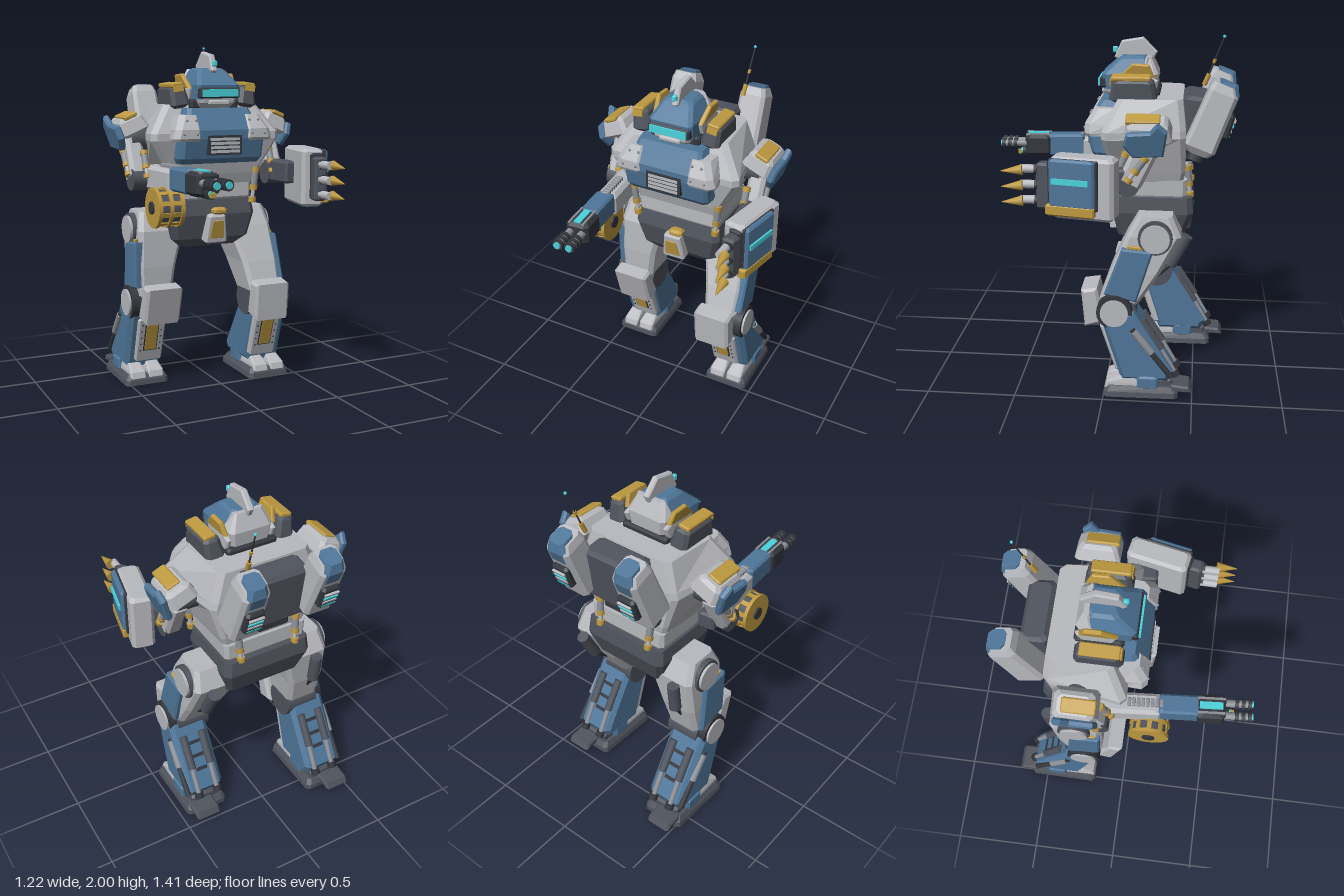
import * as THREE from 'three';

const mat = (name, color) => Object.assign(new THREE.MeshStandardMaterial({ color }), { name });
const light = mat('light grey armour', 0xb9babf);
const blue = mat('blue armour', 0x4f7699);
const dark = mat('dark frame', 0x4f535c);
const black = mat('black metal', 0x34373e);
const steel = mat('steel', 0x8d9097);
const gold = mat('gold trim', 0xbd9940);
const cyan = mat('cyan glow', 0x4bd3dc);

function add(parent, name, geo, material, pos = [0, 0, 0], rot = [0, 0, 0]) {
  const m = new THREE.Mesh(geo, material);
  m.name = name;
  m.position.set(...pos);
  m.rotation.set(...rot);
  parent.add(m);
  return m;
}

function group(parent, name, pos = [0, 0, 0], rot = [0, 0, 0]) {
  const g = new THREE.Group();
  g.name = name;
  g.position.set(...pos);
  g.rotation.set(...rot);
  parent.add(g);
  return g;
}

// Faceted hull; ring = [y, front half width, back half width, front z, back z, chamfer, centre x]
function loft(rings) {
  const p = [], idx = [], n = rings.length;
  for (const [y, xf, xb, zf, zb, c = 0.02, cx = 0] of rings) {
    const half = [[xf - c, zf], [xf, zf - c], [xb, zb + c], [xb - c, zb]];
    const all = [...half, ...half.slice().reverse().map(([x, z]) => [-x, z])];
    for (const [x, z] of all) p.push(cx + x, y, z);
  }
  for (let r = 0; r < n - 1; r++) for (let i = 0; i < 8; i++) {
    const a = r * 8 + i, b = r * 8 + (i + 1) % 8;
    idx.push(a, b, b + 8, a, b + 8, a + 8);
  }
  const t = (n - 1) * 8;
  for (let i = 1; i < 7; i++) idx.push(0, i + 1, i, t, t + i, t + i + 1);
  const g = new THREE.BufferGeometry();
  g.setAttribute('position', new THREE.Float32BufferAttribute(p, 3));
  g.setIndex(idx);
  const flat = g.toNonIndexed();
  flat.computeVertexNormals();
  return flat;
}

// Bevelled block, optionally narrowed at the top
function block(parent, name, m, [w, h, d], pos, rot, b = 0.012, top = 1) {
  const x = w / 2, y = h / 2, z = d / 2;
  return add(parent, name, loft([
    [-y, x - b, x - b, z - b, b - z, b], [b - y, x, x, z, -z, b],
    [y - b, x * top, x * top, z * top, -z * top, b],
    [y, x * top - b, x * top - b, z * top - b, b - z * top, b]]), m, pos, rot);
}
const box = (parent, name, m, size, pos, rot) => add(parent, name, new THREE.BoxGeometry(...size), m, pos, rot);

// Side outline of [z, y] points, given a width along x
function profile(parent, name, m, pts, width, x, bevel = 0.01) {
  const g = new THREE.ExtrudeGeometry(new THREE.Shape(pts.map(q => new THREE.Vector2(...q))), {
    depth: width - 2 * bevel, bevelThickness: bevel, bevelSize: bevel, bevelOffset: -bevel, bevelSegments: 1 });
  g.translate(0, 0, bevel - width / 2).rotateY(-Math.PI / 2);
  return add(parent, name, g, m, [x, 0, 0]);
}

function rod(parent, name, m, a, b, r, r2 = r, seg = 12) {
  const A = new THREE.Vector3(...a), B = new THREE.Vector3(...b), dir = B.clone().sub(A);
  const o = add(parent, name, new THREE.CylinderGeometry(r2, r, dir.length(), seg), m, A.add(B).multiplyScalar(0.5).toArray());
  o.quaternion.setFromUnitVectors(new THREE.Vector3(0, 1, 0), dir.normalize());
  return o;
}

function piston(parent, a, b, r) {
  const at = t => a.map((v, i) => v + (b[i] - v) * t);
  rod(parent, 'pistonSleeve', steel, a, at(.5), r);
  rod(parent, 'pistonRod', light, at(.5), b, r * .6);
  for (const t of [0, .5, .85]) rod(parent, 'pistonCollar', gold, at(t), at(t + .15), r * 1.15);
}

function torso(g) {
  add(g, 'torso', loft([[1.2, .26, .25, -.05, -.42], [1.26, .28, .27, -.03, -.43], [1.46, .4, .33, .02, -.43, .03],
    [1.5, .4, .32, .02, -.43, .03], [1.66, .29, .27, -.06, -.41, .03]]), light);
  add(g, 'chestPlate', loft([[1.33, .24, .25, .06, -.06], [1.36, .255, .265, .085, -.06], [1.47, .255, .26, .11, -.06],
    [1.52, .235, .25, .11, -.08], [1.64, .19, .2, .04, -.12]]), blue);
  box(g, 'ventFrame', black, [.21, .11, .03], [0, 1.435, .102]);
  for (let i = 0; i < 4; i++) box(g, 'ventSlat', light, [.18, .016, .016], [0, 1.4 + i * .023, .113]);
  add(g, 'waist', loft([[1.08, .23, .23, -.07, -.42], [1.12, .25, .25, -.05, -.44], [1.21, .255, .255, -.05, -.44]]), light);
  add(g, 'pelvis', loft([[.83, .18, .17, -.1, -.36, .03], [.88, .24, .23, -.06, -.43, .03], [1.02, .27, .27, -.03, -.48, .03],
    [1.11, .26, .26, -.05, -.47, .03]]), dark);
  block(g, 'groinPlate', light, [.14, .17, .07], [0, .945, -.02], [.2, 0, 0], .01, .75);
  block(g, 'groinPanel', gold, [.09, .11, .009], [0, .94, .016], [.25, 0, 0], .002, .75);
  block(g, 'buckle', gold, [.085, .04, .06], [.02, 1.045, -.01]);
  block(g, 'backpack', dark, [.35, .32, .15], [0, 1.5, -.47], [-.12, 0, 0], .02);
  block(g, 'backVent', black, [.2, .1, .1], [0, 1.33, -.45]);
  block(g, 'collar', black, [.3, .06, .26], [0, 1.66, -.15]);
  for (const s of [1, -1]) {
    add(g, 'chestBracket', loft([[1.46, .085, .08, .112, -.05, .03, s * .215], [1.475, .09, .08, .12, -.05, .03, s * .215],
      [1.525, .08, .08, .118, -.05, .03, s * .21], [1.605, .06, .07, .07, -.07, .03, s * .19]]), light);
    for (const [x, y, z] of [[.17, 1.5, .12], [.25, 1.5, .12], [.165, 1.575, .09], [.22, 1.575, .09]])
      add(g, 'rivet', new THREE.SphereGeometry(.008, 8, 6), steel, [s * x, y, z]);
    block(g, 'collarGuard', dark, [.11, .13, .26], [s * .215, 1.705, -.14], [0, 0, -s * .15], .02, .85);
    block(g, 'collarTrim', gold, [.07, .025, .21], [s * .228, 1.77, -.13], [0, 0, -s * .15], .006);
    box(g, 'collarFrontTrim', gold, [.06, .035, .009], [s * .226, 1.75, -.02], [-.15, 0, -s * .15]);
    piston(g, [s * .27, 1.29, -.03], [s * .25, 1.08, -.04], .02);
    piston(g, [s * .18, 1.28, -.44], [s * .17, 1.1, -.46], .02);
    // Back pods
    const pod = group(g, 'backPod', [s * .222, 1.56, -.57], [-.37, 0, 0]);
    add(pod, 'podShell', loft([[-.21, .06, .06, .06, -.06], [-.17, .085, .085, .09, -.085], [.15, .078, .078, .08, -.08],
      [.195, .065, .065, .07, -.05]]), light);
    add(pod, 'podCap', loft([[.09, .062, .062, -.02, -.086], [.16, .062, .062, .02, -.086], [.21, .05, .05, .045, -.06]]), blue);
    block(pod, 'podVent', black, [.11, .14, .05], [0, -.01, -.09], [.12, 0, 0]);
    for (let i = 0; i < 4; i++) box(pod, 'podGrille', i % 2 ? light : cyan, [.085, .014, .02], [0, -.055 + i * .028, -.112]);
    rod(pod, 'podNozzle', black, [0, -.2, 0], [0, -.25, 0], .04, .05);
  }
  rod(g, 'antennaBase', gold, [.18, 1.73, -.52], [.185, 1.79, -.545], .013);
  rod(g, 'antenna', black, [.185, 1.79, -.545], [.2, 1.99, -.62], .005, .004, 6);
  rod(g, 'antennaJoint', gold, [.191, 1.85, -.567], [.193, 1.87, -.575], .009);
  add(g, 'antennaTip', new THREE.SphereGeometry(.009, 8, 6), cyan, [.2, 1.991, -.62]);
}

function head(g) {
  add(g, 'jaw', loft([[1.63, .09, .1, -.02, -.24], [1.67, .11, .11, .03, -.25], [1.71, .12, .12, .035, -.25]]), light);
  add(g, 'helmet', loft([[1.69, .13, .13, .03, -.24], [1.77, .13, .13, .04, -.24], [1.85, .09, .09, -.05, -.21], [1.865, .07, .07, -.07, -.2]]), blue);
  add(g, 'helmetBack', loft([[1.66, .12, .11, -.17, -.26], [1.77, .138, .125, -.17, -.27], [1.86, .092, .08, -.2, -.23, .01]]), light);
  block(g, 'visorFrame', black, [.25, .06, .04], [0, 1.725, .03], [0, 0, 0], .008);
  box(g, 'visor', cyan, [.22, .042, .016], [0, 1.725, .053]);
  block(g, 'mouthGuard', light, [.13, .03, .03], [0, 1.67, .03], [0, 0, 0], .008);
  profile(g, 'crest', light, [[-.02, 1.85], [-.06, 1.94], [-.18, 1.96], [-.26, 1.88], [-.23, 1.82], [-.06, 1.82]], .038, 0, .008);
  block(g, 'crestLamp', cyan, [.026, .035, .03], [0, 1.89, -.025], [0, 0, 0], .006);
  for (const s of [1, -1]) {
    profile(g, 'cheekPlate', light, [[-.08, 1.67], [-.05, 1.75], [-.2, 1.77], [-.27, 1.74], [-.24, 1.66]], .03, s * .132, .008);
    profile(group(g, 'earFin', [s * .147, 1.79, 0], [0, 0, -s * .2]), 'earFinPlate', gold,
      [[-.05, -.04], [-.13, .045], [-.22, .04], [-.25, -.03]], .026, 0, .006);
  }
}

// A stride shift carries one leg back below the hip
function leg(root, s, dz) {
  const g = group(root, s > 0 ? 'leftLeg' : 'rightLeg', [s > 0 ? 0 : -.066, 0, 0]);
  const sk = ([z, y]) => [z + dz * Math.min(1, Math.max(0, (.95 - y) / .45)), y];
  const prof = (n, m, pts, w, x, b) => profile(g, n, m, pts.map(sk), w, s * x, b);
  const ring = (y, w, zf, zb, cx) => [y, w, w, sk([zf, y])[0], sk([zb, y])[0], .025, s * cx];
  const cyl = (n, m, r, len, x, z, y) => rod(g, n, m, [s * x - len / 2, y, z], [s * x + len / 2, y, z], r, r, 24);
  const kz = -.06 + dz, hipZ = -.28;
  // Thigh and hip
  add(g, 'thigh', loft([ring(.47, .09, 0, -.13, .29), ring(.55, .1, .03, -.2, .29), ring(.72, .115, -.03, -.31, .28),
    ring(.93, .14, -.12, -.42, .25), ring(1.04, .1, -.18, -.37, .27)]), light);
  cyl('hipRing', dark, .095, .05, .38, hipZ, .93);
  cyl('hipDisc', light, .08, .07, .385, hipZ, .93);
  prof('thighPlate', blue, [[-.1, .87], [-.27, .855], [-.18, .56], [0, .6]], .07, .385);
  prof('thighPlateTrim', gold, [[-.13, .885], [-.24, .875], [-.24, .855], [-.13, .865]], .05, .38, .004);
  rod(g, 'thighDamper', dark, [s * .3, .92, -.45], [s * .3, .75, -.36 + dz * .4], .035);
  rod(g, 'thighDamperRod', black, [s * .3, .75, -.36 + dz * .4], [s * .3, .55, -.14 + dz * .9], .014);
  // Knee
  cyl('kneeJoint', dark, .1, .2, .29, kz - .02, .49);
  cyl('kneeRing', black, .1, .07, .4, kz, .5);
  cyl('kneeDisc', light, .078, .09, .402, kz, .5);
  prof('kneePlate', light, [[.13, .61], [.04, .625], [.0, .42], [.11, .39]], .22, .28, .015);
  // Shin
  prof('shin', blue, [[.01, .44], [-.1, .09], [-.36, .09], [-.39, .15], [-.17, .5], [-.08, .54]], .23, .325, .025);
  prof('shinGuard', light, [[.025, .4], [-.065, .13], [-.14, .14], [-.05, .42]], .17, .305);
  box(g, 'shinPanel', gold, [.07, .17, .009], [s * .305, .285, -.008 + dz], [.32, 0, 0]);
  box(g, 'shinPanelFrame', black, [.085, .185, .006], [s * .305, .285, -.013 + dz], [.32, 0, 0]);
  for (const e of [-1, 1]) for (let i = 0; i < 5; i++)
    box(g, 'shinRivet', black, [.008, .008, .008], [s * .305 + e * .06, .2 + i * .042, -.04 + i * .014 + dz]);
  for (const x of [.26, .38]) {
    rod(g, 'calfSleeve', dark, [s * x, .44, -.21 + dz], [s * x, .27, -.32 + dz], .024);
    rod(g, 'calfRod', steel, [s * x, .27, -.32 + dz], [s * x, .12, -.405 + dz], .015);
    rod(g, 'calfCollar', black, [s * x, .14, -.395 + dz], [s * x, .11, -.41 + dz], .026);
  }
  for (let i = 0; i < 3; i++) box(g, 'calfRib', black, [.07, .02, .02], [s * .32, .25 + i * .07, -.32 + i * .045 + dz], [.55, 0, 0]);
  rod(g, 'sideRod', black, [s * .44, .41, -.16 + dz], [s * .44, .13, -.38 + dz], .016);
  rod(g, 'sideRodSleeve', steel, [s * .44, .4, -.168 + dz], [s * .44, .27, -.27 + dz], .022);
  // Foot
  add(g, 'sole', loft([[0, .135, .13, 0, -.42], [.03, .13, .125, -.003, -.42], [.06, .11, .11, -.02, -.4]]), dark,
    [s * .33, 0, dz]);
  for (const e of [-1, 1]) add(g, 'toe', loft([[.04, .05, .052, -.005, -.2, .01], [.075, .048, .05, -.015, -.2, .01],
    [.115, .036, .042, -.09, -.19, .01]]), light, [s * .33 + e * .055, 0, dz]);
  block(g, 'ankle', blue, [.24, .08, .12], [s * .33, .085, -.25 + dz]);
  block(g, 'ankleHinge', dark, [.18, .06, .1], [s * .33, .075, -.34 + dz]);
  profile(g, 'heel', dark, [[-.38, .03], [-.5, .03], [-.48, .065], [-.38, .075]].map(([z, y]) => [z + dz, y]), .15, s * .365);
}

function arm(g, s) {
  rod(g, 'shoulderJoint', dark, [s * .32, 1.46, -.23], [s * .45, 1.46, -.23], .07, .07, 16);
  const pad = group(g, 'shoulderPad', [s * .452, 1.545, -.235], [0, 0, -s * .4]);
  block(pad, 'padShell', light, [.17, .11, .25], [0, 0, 0], [0, 0, 0], .02, .85);
  block(pad, 'padTrim', gold, [.08, .025, .18], [0, .055, .025], [0, 0, 0], .006);
  profile(group(g, 'shoulderFlap', [s * .535, 1.49, 0], [0, 0, -s * .3]), 'flapPlate', blue,
    [[-.13, .05], [-.25, .06], [-.29, .11], [-.34, .06], [-.32, -.08], [-.16, -.09], [-.11, -.02]], .04, 0);
  block(g, 'upperArm', light, [.1, .26, .13], [s * .435, 1.35, -.19], [-.45, 0, 0], .02);
  rod(g, 'elbow', dark, [s * .38, 1.24, -.13], [s * .48, 1.24, -.13], .065, .065, 16);
  piston(g, [s * .485, 1.4, -.23], [s * .485, 1.26, -.13], .02);
  piston(g, [s * .4, 1.4, -.12], [s * .4, 1.25, -.06], .02);
}

function gunArm(root) {
  const g = group(root, 'gunArm');
  const gun = group(g, 'gun', [-.365, 1.27, 0], [0, .07, 0]);
  block(gun, 'forearm', light, [.12, .14, .36], [0, -.02, .03], [0, 0, 0], .02);
  block(gun, 'forearmBack', dark, [.1, .1, .16], [-.03, -.02, -.16]);
  for (let i = 0; i < 8; i++) block(gun, 'ammoLink', steel, [.045, .025, .02], [0, .058, .03 + i * .025], [0, 0, 0], .004);
  block(gun, 'receiver', blue, [.11, .13, .22], [0, 0, .3], [0, 0, 0], .012);
  block(gun, 'barrelShroud', black, [.135, .13, .16], [0, 0, .47], [0, 0, 0], .02);
  for (const s of [1, -1]) box(gun, 'shroudRail', steel, [.012, .012, .15], [s * .04, .064, .47]);
  box(gun, 'shroudLight', cyan, [.04, .009, .125], [0, .066, .47]);
  for (const [x, y, end] of [[-.035, .01, .7], [.035, .01, .7], [0, -.045, .58]]) {
    rod(gun, 'barrel', steel, [x, y, .5], [x, y, end - .01], .021);
    for (let k = 0; k < 3; k++) rod(gun, 'barrelRing', black, [x, y, end - .1 + k * .035], [x, y, end - .08 + k * .035], .031);
    rod(gun, 'muzzle', cyan, [x, y, end - .01], [x, y, end], .019);
  }
  box(gun, 'sight', gold, [.03, .025, .02], [0, -.05, .59]);
  // Ammunition drum
  const d = group(g, 'drum', [-.41, 1.11, .15]);
  rod(d, 'drumCore', dark, [-.07, 0, 0], [.07, 0, 0], .1, .1, 24);
  for (const x of [-.075, -.01, .055]) rod(d, 'drumBand', gold, [x, 0, 0], [x + .02, 0, 0], .112, .112, 24);
  for (let i = 0; i < 10; i++) {
    const a = i * Math.PI / 5;
    box(d, 'drumStave', gold, [.14, .012, .025], [0, Math.cos(a) * .1, Math.sin(a) * .1], [a, 0, 0]);
  }
  rod(d, 'drumHub', black, [-.085, 0, 0], [.085, 0, 0], .035, .035, 16);
}

function clawArm(root) {
  const g = group(root, 'clawArm');
  block(g, 'forearmLink', dark, [.1, .13, .25], [.41, 1.26, -.03], [0, .1, 0]);
  const c = group(g, 'gauntlet', [.495, 1.24, .09], [0, -.2, 0]);
  block(c, 'gauntletShell', light, [.13, .335, .35], [0, 0, 0], [0, 0, 0], .018);
  block(c, 'sidePlateFrame', black, [.02, .27, .27], [.066, .025, .04], [0, 0, 0], .006);
  block(c, 'sidePlate', blue, [.035, .26, .25], [.075, .03, .045], [0, 0, 0], .012);
  box(c, 'sideLight', cyan, [.014, .03, .2], [.096, .045, .05]);
  block(c, 'lowerTrim', gold, [.05, .06, .27], [.07, -.115, .055], [0, 0, 0], .008);
  block(c, 'frontPlate', black, [.08, .27, .03], [.02, .01, .175]);
  block(c, 'clawMount', dark, [.075, .25, .08], [.02, 0, .215]);
  for (const y of [-.085, 0, .085]) {
    rod(c, 'fingerRod', light, [.02, y, .24], [.04, y, .345], .023);
    rod(c, 'fingerKnuckle', black, [.03, y, .25], [.032, y, .265], .029);
    rod(c, 'claw', gold, [.06, y, .325], [.09, y - .008, .435], .03, .002, 8);
  }
}

export function createModel() {
  const root = new THREE.Group();
  root.name = 'walker';
  const upper = group(root, 'upperBody', [-.03, 0, 0]);
  torso(upper);
  head(upper);
  arm(upper, 1);
  arm(upper, -1);
  leg(root, 1, 0);
  leg(root, -1, -.18);
  gunArm(root);
  clawArm(root);
  return root;
}
